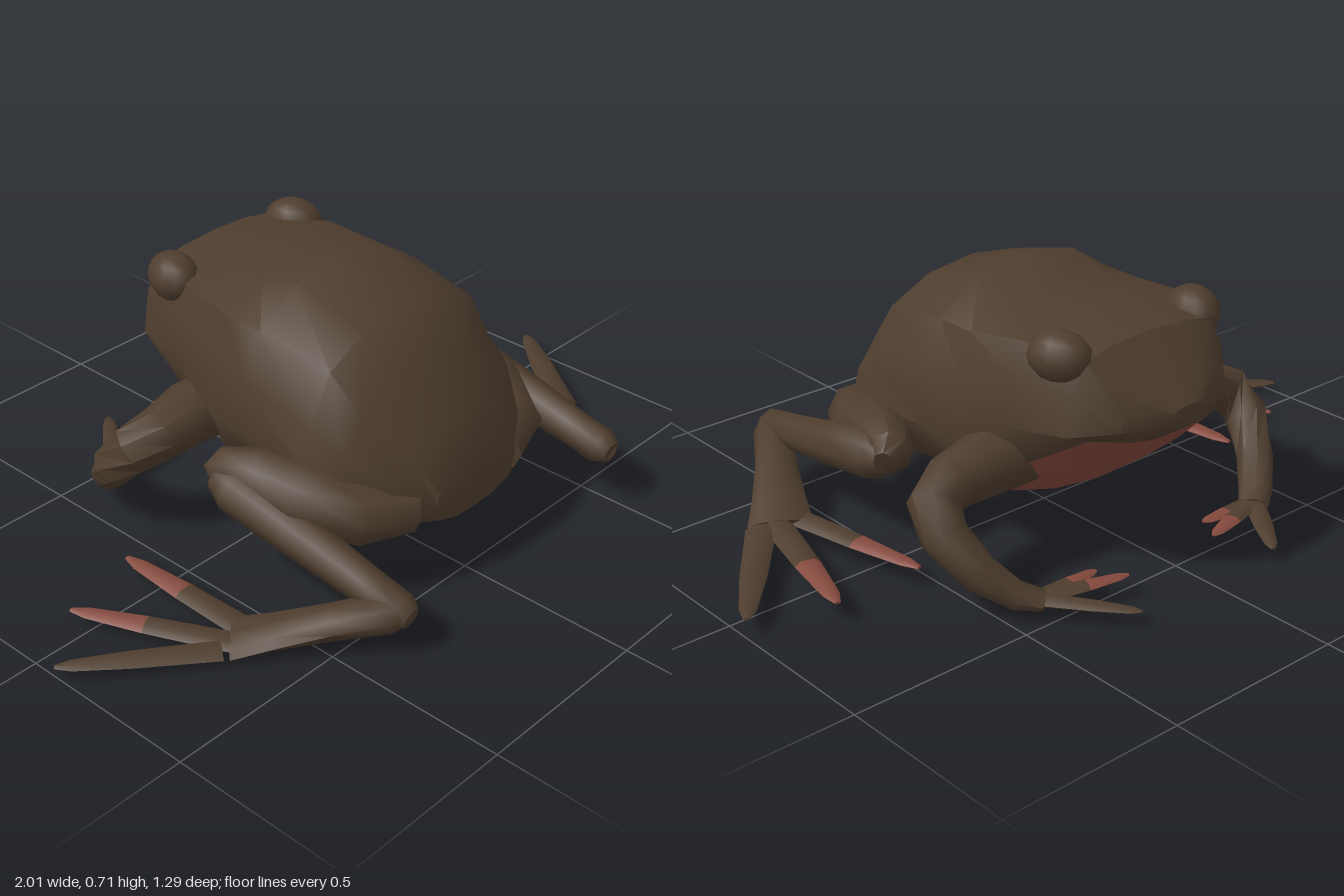
import * as THREE from 'three';
import { toCreasedNormals } from 'three/addons/utils/BufferGeometryUtils.js';

const CX = 0.04; // the torso sits slightly off centre

const skin = new THREE.MeshStandardMaterial({ color: 0x4e3d2e });
skin.name = 'brown skin';
const red = new THREE.MeshStandardMaterial({ color: 0x84493d });
red.name = 'reddish skin';

const lerp = THREE.MathUtils.lerp;

// Closed loft through rings of Vector3; isRed(segment, side) picks the colour of a quad
function loft(name, rings, isRed, crease) {
  const lists = [[], []];
  const n = rings[0].length;
  const tri = (k, ...pts) => pts.forEach(p => lists[k].push(p.x, p.y, p.z));
  for (let s = 0; s < rings.length - 1; s++) {
    for (let i = 0; i < n; i++) {
      const j = (i + 1) % n, k = isRed(s, i) ? 1 : 0;
      const a = rings[s][i], b = rings[s][j], c = rings[s + 1][j], d = rings[s + 1][i];
      tri(k, a, d, b);
      tri(k, d, c, b);
    }
  }
  // End caps
  [0, rings.length - 1].forEach((r, end) => {
    const ring = rings[r];
    const mid = ring.reduce((m, p) => m.add(p), new THREE.Vector3()).divideScalar(n);
    const k = isRed(end ? r - 1 : 0, 0) ? 1 : 0;
    for (let i = 0; i < n; i++) {
      const p = ring[i], q = ring[(i + 1) % n];
      if (end) tri(k, mid, q, p); else tri(k, mid, p, q);
    }
  });
  const geo = new THREE.BufferGeometry();
  geo.setAttribute('position', new THREE.Float32BufferAttribute(lists[0].concat(lists[1]), 3));
  geo.addGroup(0, lists[0].length / 3, 0);
  geo.addGroup(lists[0].length / 3, lists[1].length / 3, 1);
  const mesh = new THREE.Mesh(toCreasedNormals(geo, crease), [skin, red]);
  mesh.name = name;
  return mesh;
}

// Limb along stations [x, y, z, half width, half height]; red from station redFrom on
function limb(name, stations, redFrom = 99, sides = 8) {
  const pts = stations.map(p => new THREE.Vector3(p[0], p[1], p[2]));
  const up = new THREE.Vector3(0, 1, 0);
  const rings = stations.map((p, k) => {
    const prev = pts[Math.max(k - 1, 0)], next = pts[Math.min(k + 1, pts.length - 1)];
    const t = next.clone().sub(pts[k]).normalize().add(pts[k].clone().sub(prev).normalize()).normalize();
    const side = t.clone().cross(up).normalize();
    const top = side.clone().cross(t);
    return Array.from({ length: sides }, (_, i) => {
      const a = (i / sides) * Math.PI * 2;
      return pts[k].clone()
        .addScaledVector(side, Math.cos(a) * p[3])
        .addScaledVector(top, Math.sin(a) * (p[4] ?? p[3]));
    });
  });
  return loft(name, rings, s => s >= redFrom, 1.0);
}

// Tapering finger or toe with an optional red end
function digit(name, from, to, r, hasRedEnd) {
  const at = (t, k) => from.map((v, i) => lerp(v, to[i], t)).concat(r * k, r * k * 0.45);
  return limb(name, [at(0, 1), at(0.55, 0.85), at(0.9, 0.55), at(1, 0.2)], hasRedEnd ? 1 : 99, 6);
}

// Torso sections: z, heights (spine, brow, flank, low flank, belly edge, belly), half widths (brow to belly edge)
const SECTIONS = [
  [-0.57, [.485, .475, .465, .45, .44, .43], [.05, .06, .06, .05]],
  [-0.52, [.54, .52, .49, .445, .41, .395], [.14, .17, .18, .14]],
  [-0.43, [.635, .61, .53, .43, .40, .30], [.21, .25, .27, .20]],
  [-0.25, [.66, .625, .54, .41, .29, .17], [.26, .295, .31, .27]],
  [-0.10, [.67, .605, .48, .34, .21, .115], [.285, .32, .345, .29]],
  [0.02, [.715, .605, .48, .34, .22, .12], [.285, .34, .36, .30]],
  [0.24, [.65, .57, .44, .32, .21, .13], [.27, .34, .365, .31]],
  [0.33, [.555, .47, .38, .29, .20, .14], [.25, .32, .34, .29]],
  [0.43, [.42, .36, .32, .25, .19, .15], [.18, .24, .25, .22]],
  [0.49, [.30, .27, .24, .21, .19, .165], [.14, .15, .15, .14]],
];

function torso() {
  const rings = SECTIONS.map(([z, [spine, brow, flank, low, edge, belly], w]) => {
    // The rounding of the back and belly follows from the neighbouring points
    const half = [
      [0, spine], [w[0] * .55, lerp(brow, spine, .75)], [w[0], brow], [w[1], flank],
      [w[2], low], [w[3], edge], [w[3] * .53, lerp(belly, edge, .15)], [0, belly],
    ];
    const left = half.map(([x, y]) => new THREE.Vector3(CX + x, y, z));
    const right = half.slice(1, -1).reverse().map(([x, y]) => new THREE.Vector3(CX - x, y, z));
    return left.concat(right);
  });
  // Throat and belly are red, narrowing towards the back
  const isRed = (s, i) => s >= 1 && ((s <= 3 && i >= 5 && i <= 8) || (s <= 5 && (i === 6 || i === 7)));
  return loft('torso', rings, isRed, 0.65);
}

function frontLeg(side) {
  const g = new THREE.Group();
  g.name = side > 0 ? 'leftFrontLeg' : 'rightFrontLeg';
  const m = p => [CX + side * p[0], ...p.slice(1)];
  g.add(limb('arm', [
    [.20, .30, -.19, .09], [.33, .30, -.20, .085], [.44, .285, -.20, .072], [.51, .26, -.225, .068],
    [.525, .20, -.28, .06], [.48, .115, -.36, .05], [.42, .06, -.42, .045, .035], [.37, .045, -.46, .04, .022],
  ].map(m)));
  const palm = m([.385, .047, -.445]);
  [[.23, .045, -.655], [.15, .06, -.525], [.19, .055, -.45]].forEach((tip, i) =>
    g.add(digit('finger' + (i + 1), palm, m(tip), .03, i > 0)));
  return g;
}

// Hind leg: the two feet stand differently, so each has its own heel, web and toe tips
function hindLeg(side, heel, web, tips) {
  const g = new THREE.Group();
  g.name = side > 0 ? 'leftHindLeg' : 'rightHindLeg';
  const m = p => [CX + side * p[0], ...p.slice(1)];
  g.add(limb('thigh', [
    [.17, .22, .42, .07], [.29, .235, .36, .095, .085], [.37, .26, .24, .09], [.40, .28, .12, .08, .075],
    [.44, .28, .04, .06, .065], [.47, .265, .02, .03, .04],
  ].map(m)));
  const between = (a, b, t, ...radii) => a.map((v, i) => lerp(v, b[i], t)).concat(radii);
  const knee = m([.455, .265, .06]);
  g.add(limb('shank', [[-.05, .04], [.05, .065], [.4, .06], [.8, .05], [1, .048], [1.06, .03]]
    .map(([t, r]) => between(knee, heel, t, r))));
  g.add(limb('foot', [[-.06, .03, .03], [.06, .055, .05], [.4, .055, .04], [.75, .07, .028], [1, .085, .018]]
    .map(([t, w, h]) => between(heel, web, t, w, h))));
  // Inner, middle and outer toe fan out from the web
  tips.forEach((tip, i) => {
    const root = [web[0] + (i - 1) * .05 * side, web[1], web[2] + .03 - (i - 1) * .015];
    g.add(digit('toe' + (i + 1), root, tip, .04, i < 2));
  });
  return g;
}

// Raised eye and brow mound
function eye(side) {
  const e = new THREE.Mesh(new THREE.SphereGeometry(1, 12, 8), skin);
  e.name = side > 0 ? 'leftEye' : 'rightEye';
  e.scale.set(.065, .065, .085);
  e.rotation.y = side * 0.3;
  e.position.set(CX + side * .225, .605, -.355);
  return e;
}

export function createModel() {
  const model = new THREE.Group();
  model.name = 'toad';
  model.add(torso());
  [1, -1].forEach(s => model.add(frontLeg(s), eye(s)));
  model.add(
    hindLeg(1, [.48, .17, .57], [.68, .06, .25], [[.55, .06, -.16], [.80, .06, -.165], [.995, .05, -.07]]),
    hindLeg(-1, [-.36, .11, .59], [-.63, .02, .29], [[-.59, .03, -.13], [-.83, .03, -.07], [-1, .03, .07]]),
  );
  return model;
}
